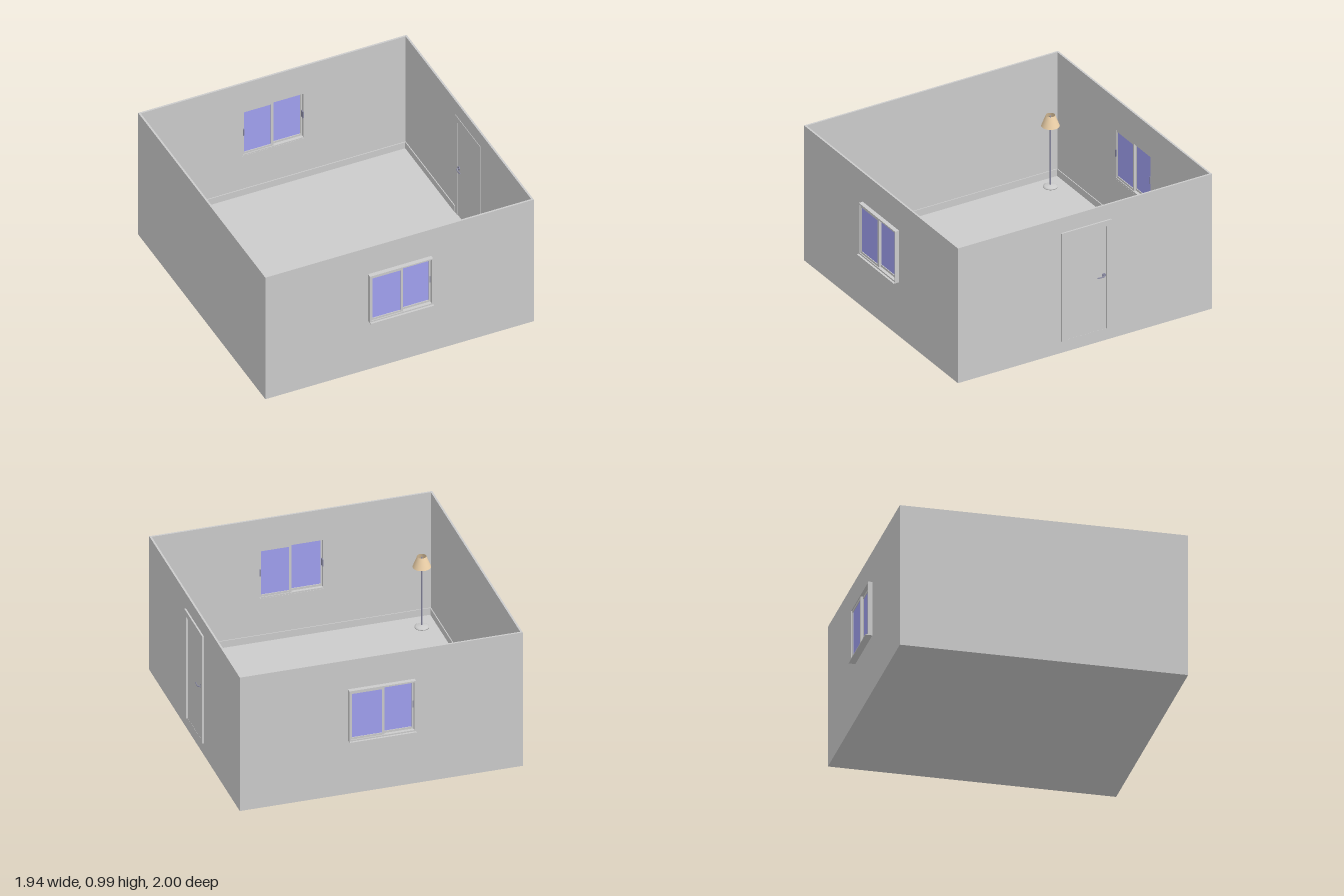
import * as THREE from 'three';

const grey = new THREE.MeshStandardMaterial({ color: 0xcccccc });
const glass = new THREE.MeshStandardMaterial({ color: 0xa0a0f0 });
const metal = new THREE.MeshStandardMaterial({ color: 0x8c8ca4 });
const cloth = new THREE.MeshStandardMaterial({ color: 0xecd0a8, side: THREE.DoubleSide });

// Room: centre x, half sizes, height, wall thickness, floor level
const CX = -0.015, HX = 0.955, HZ = 0.955, H = 0.99, T = 0.013, FLOOR = 0.085;
const DOOR_Z = -0.007;

function add(parent, name, geometry, material = grey) {
  const mesh = new THREE.Mesh(geometry, material);
  mesh.name = name;
  parent.add(mesh);
  return mesh;
}

// Box given by its minimum and maximum corners
function box(parent, name, [x0, y0, z0], [x1, y1, z1], material) {
  const mesh = add(parent, name, new THREE.BoxGeometry(x1 - x0, y1 - y0, z1 - z0), material);
  mesh.position.set((x0 + x1) / 2, (y0 + y1) / 2, (z0 + z1) / 2);
  return mesh;
}

function trace(path, [x0, y0, x1, y1]) {
  path.moveTo(x0, y0);
  path.lineTo(x1, y0);
  path.lineTo(x1, y1);
  path.lineTo(x0, y1);
  path.closePath();
  return path;
}

// Upright rectangular panel with one rectangular hole, from z0 to z1
function panel(parent, name, outer, hole, z0, z1) {
  const shape = trace(new THREE.Shape(), outer);
  if (hole) shape.holes.push(trace(new THREE.Path(), hole));
  const geometry = new THREE.ExtrudeGeometry(shape, { depth: z1 - z0, bevelEnabled: false });
  geometry.translate(0, 0, z0);
  return add(parent, name, geometry);
}

// Sliding window; local z = 0 is the inner wall face, +z points outdoors
function makeWindow() {
  const g = new THREE.Group();
  g.name = 'slidingWindow';
  panel(g, 'windowFrame', [-0.225, 0.402, 0.225, 0.775], [-0.215, 0.412, 0.215, 0.765], 0, 0.043);
  box(g, 'windowSill', [-0.225, 0.396, 0.008], [0.225, 0.402, 0.058]);
  const sashes = [['outer', -0.22, 0.013, 0.022], ['inner', -0.003, 0.22, 0.005]];
  for (const [side, x0, x1, z] of sashes) {
    panel(g, side + 'Sash', [x0, 0.41, x1, 0.767], [x0 + 0.016, 0.427, x1 - 0.016, 0.75], z, z + 0.015);
    box(g, side + 'Pane', [x0 + 0.012, 0.423, z + 0.005], [x1 - 0.012, 0.754, z + 0.01], glass);
  }
  // Indoor pulls on the outer stile of each sash
  for (const s of [-1, 1]) {
    box(g, 'windowPull', [s * 0.212 - 0.004, 0.57, -0.006], [s * 0.212 + 0.004, 0.62, 0.024], metal);
  }
  return g;
}

// Door; built facing +z with local z = 0 at the inner wall face
function makeDoor() {
  const g = new THREE.Group();
  g.name = 'door';
  // Three-sided casing
  const casing = new THREE.Shape([
    [-0.188, FLOOR], [-0.152, FLOOR], [-0.152, 0.84], [0.152, 0.84],
    [0.152, FLOOR], [0.188, FLOOR], [0.188, 0.88], [-0.188, 0.88],
  ].map(p => new THREE.Vector2(...p)));
  const geometry = new THREE.ExtrudeGeometry(casing, { depth: 0.027, bevelEnabled: false });
  add(g, 'doorCasing', geometry.translate(0, 0, -0.003));
  box(g, 'doorLeaf', [-0.152, FLOOR, 0.001], [0.152, 0.84, T - 0.001]);

  // Lever handle on both faces
  for (const s of [-1, 1]) {
    const handle = new THREE.Group();
    handle.name = 'doorHandle';
    const rose = add(handle, 'handleRose', new THREE.CylinderGeometry(0.014, 0.014, 0.006, 20), metal);
    rose.rotation.x = Math.PI / 2;
    rose.position.z = 0.008;
    const lever = new THREE.CatmullRomCurve3([
      new THREE.Vector3(0, 0, 0.006), new THREE.Vector3(-0.002, 0, 0.022),
      new THREE.Vector3(-0.014, 0, 0.028), new THREE.Vector3(-0.055, 0, 0.026),
    ]);
    add(handle, 'handleLever', new THREE.TubeGeometry(lever, 16, 0.004, 8), metal);
    const tip = add(handle, 'leverTip', new THREE.SphereGeometry(0.004, 8, 6), metal);
    tip.position.copy(lever.getPoint(1));
    handle.scale.z = s;
    handle.position.set(0.134, 0.48, T / 2);
    g.add(handle);
  }
  return g;
}

// Standing lamp with a round foot, thin pole and open conical shade
function makeLamp() {
  const g = new THREE.Group();
  g.name = 'floorLamp';
  const lathe = pts => new THREE.LatheGeometry(pts.map(p => new THREE.Vector2(...p)), 32);
  add(g, 'lampFoot', lathe([[0, 0], [0.047, 0], [0.047, 0.006], [0.038, 0.012], [0.012, 0.016], [0, 0.018]]));
  const pole = add(g, 'lampPole', new THREE.CylinderGeometry(0.005, 0.005, 0.51, 12), metal);
  pole.position.y = 0.265;
  const bulb = add(g, 'lampBulb', new THREE.SphereGeometry(0.013, 16, 12));
  bulb.position.y = 0.495;
  add(g, 'lampShade', lathe([[0.06, 0.45], [0.03, 0.527]]), cloth);
  return g;
}

export function createModel() {
  const model = new THREE.Group();
  model.name = 'room';
  const x0 = CX - HX, x1 = CX + HX, inX0 = x0 + T, inX1 = x1 - T, inZ = HZ - T;

  // Floor slab and the four walls
  box(model, 'floor', [inX0, 0, -inZ], [inX1, FLOOR, inZ]);
  for (const [name, s] of [['front', 1], ['back', -1]]) {
    const side = new THREE.Group();
    side.name = name + 'Side';
    panel(side, name + 'Wall', [-HX, 0, HX, H], [-0.224, 0.401, 0.224, 0.774], 0, T);
    side.add(makeWindow());
    side.position.set(CX, 0, s * inZ);
    if (s < 0) side.rotation.y = Math.PI;
    model.add(side);
  }
  box(model, 'rightWall', [x0, 0, -inZ], [inX0, H, inZ]);

  const doorSide = new THREE.Group();
  doorSide.name = 'doorSide';
  const wall = panel(doorSide, 'doorWall', [-inZ, 0, inZ, H], [-0.17, FLOOR, 0.17, 0.86], 0, T);
  wall.position.x = 0;
  const door = makeDoor();
  door.position.x = -DOOR_Z;
  wall.geometry.dispose();
  wall.geometry = new THREE.ExtrudeGeometry(
    (() => {
      const s = trace(new THREE.Shape(), [-inZ, 0, inZ, H]);
      s.holes.push(trace(new THREE.Path(), [-0.152 - DOOR_Z, FLOOR, 0.152 - DOOR_Z, 0.84]));
      return s;
    })(), { depth: T, bevelEnabled: false });
  doorSide.add(door);
  doorSide.rotation.y = Math.PI / 2;
  doorSide.position.x = inX1;
  model.add(doorSide);

  // Skirting boards, broken at the door
  const S = 0.006, top = FLOOR + 0.05;
  box(model, 'frontSkirting', [inX0, FLOOR, inZ - S], [inX1, top, inZ]);
  box(model, 'backSkirting', [inX0, FLOOR, -inZ], [inX1, top, -inZ + S]);
  box(model, 'rightSkirting', [inX0, FLOOR, -inZ + S], [inX0 + S, top, inZ - S]);
  box(model, 'doorSkirting', [inX1 - S, FLOOR, DOOR_Z + 0.188], [inX1, top, inZ - S]);
  box(model, 'doorSkirting', [inX1 - S, FLOOR, -inZ + S], [inX1, top, DOOR_Z - 0.188]);

  // Lamps in the two right-hand corners
  for (const z of [-0.825, 0.8]) {
    const lamp = makeLamp();
    lamp.position.set(-0.85, FLOOR, z);
    model.add(lamp);
  }
  return model;
}
